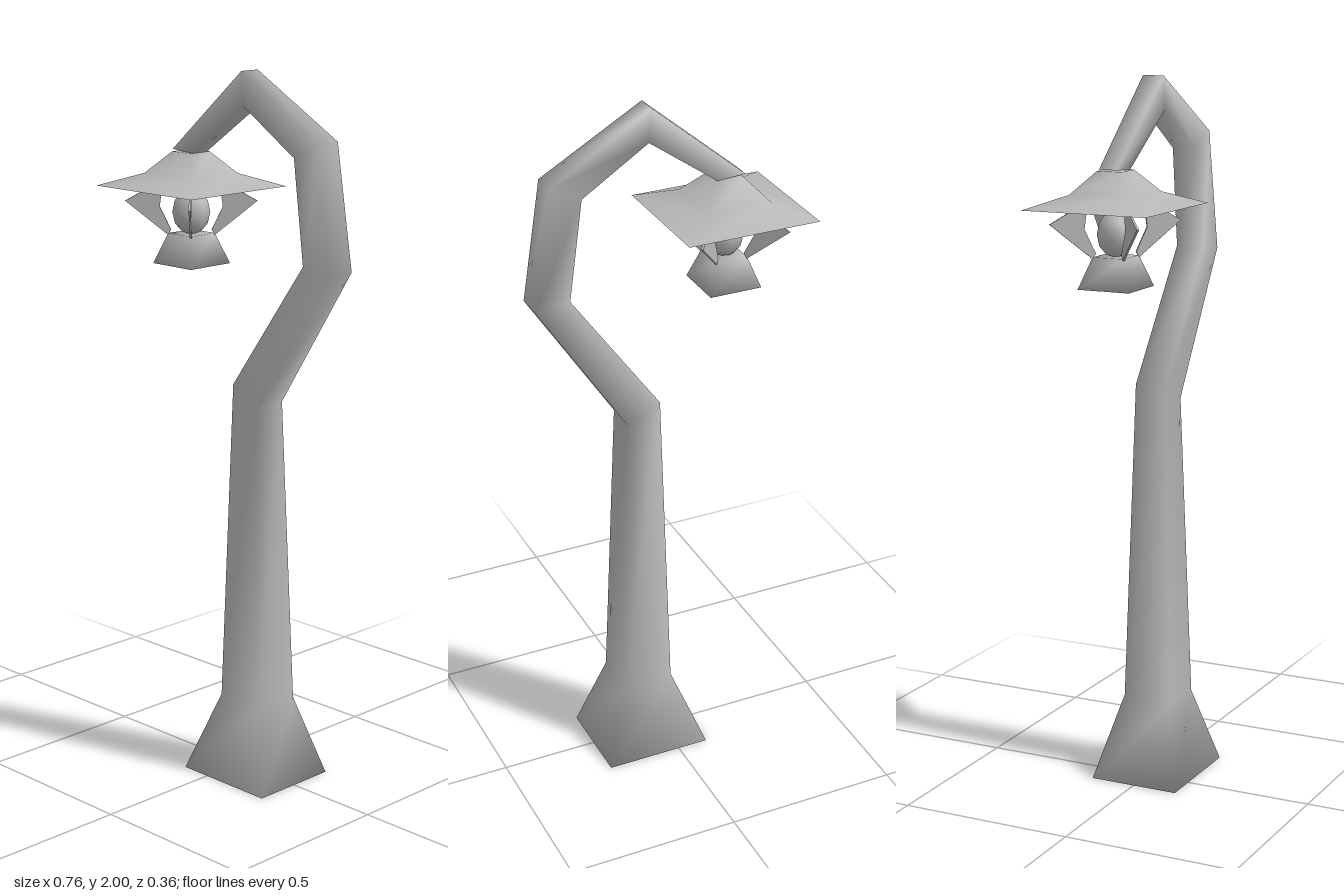
import * as THREE from 'three';

// Smooth loft through four-cornered rings [leftX, leftY, rightX, rightY, halfDepth]
function loft(rings, capStart = true, capEnd = true) {
  const pos = [], idx = [];
  for (const [lx, ly, rx, ry, d] of rings)
    pos.push(lx, ly, d, rx, ry, d, rx, ry, -d, lx, ly, -d);
  for (let r = 0; r < rings.length - 1; r++) {
    for (let i = 0; i < 4; i++) {
      const a = r * 4 + i, b = r * 4 + (i + 1) % 4;
      idx.push(a, b, b + 4, a, b + 4, a + 4);
    }
  }
  const e = (rings.length - 1) * 4;
  if (capStart) idx.push(0, 3, 2, 0, 2, 1);
  if (capEnd) idx.push(e, e + 1, e + 2, e, e + 2, e + 3);
  const g = new THREE.BufferGeometry();
  g.setAttribute('position', new THREE.Float32BufferAttribute(pos, 3));
  g.setIndex(idx);
  g.computeVertexNormals();
  return g;
}

// Level ring centred on the origin
const level = (y, hx, hz = hx) => [-hx, y, hx, y, hz];

export function createModel() {
  const model = new THREE.Group();
  const grey = new THREE.MeshStandardMaterial({ color: 0xb8b8b8, side: THREE.DoubleSide });
  grey.name = 'grey';
  const add = (parent, name, geometry) => {
    const m = new THREE.Mesh(geometry, grey);
    m.name = name;
    parent.add(m);
    return m;
  };

  // Crooked, tapering post with flared foot
  add(model, 'post', loft([
    [-0.09, 0, 0.22, 0, 0.131],
    [0, 0.235, 0.145, 0.225, 0.072],
    [0.022, 1.145, 0.12, 1.097, 0.046],
    [0.278, 1.505, 0.377, 1.492, 0.041],
    [0.238, 1.787, 0.327, 1.832, 0.036],
    [0.046, 1.907, 0.038, 2, 0.031],
    [-0.155, 1.762, -0.237, 1.768, 0.025],
  ]));

  // Hanging lantern
  const lantern = new THREE.Group();
  lantern.name = 'lantern';
  lantern.position.x = -0.19;
  model.add(lantern);

  // Hollow flared roof
  add(lantern, 'roof', loft([
    level(1.667, 0.191, 0.182),
    level(1.703, 0.093, 0.09),
    level(1.763, 0.038, 0.036),
  ], false, true));

  // Flared lantern foot
  add(lantern, 'lanternFoot', loft([level(1.45, 0.076), level(1.535, 0.046)]));

  // Rounded lamp bulb
  const bulb = add(lantern, 'bulb', new THREE.SphereGeometry(0.053, 8, 6));
  bulb.scale.y = 1.2;
  bulb.position.y = 1.595;

  // Four thin bracket plates on the diagonals
  const k = Math.SQRT2;
  const fin = new THREE.Shape([
    [0.055, 1.685], [0.13, 1.626], [0.046, 1.53], [0.04, 1.545], [0.062, 1.61],
  ].map(([x, y]) => new THREE.Vector2(x * k, y)));
  const finGeometry = new THREE.ExtrudeGeometry(fin, { depth: 0.006, bevelEnabled: false });
  finGeometry.translate(0, 0, -0.003);
  for (let i = 0; i < 4; i++)
    add(lantern, 'bracket' + (i + 1), finGeometry).rotation.y = Math.PI / 4 + i * Math.PI / 2;

  return model;
}
